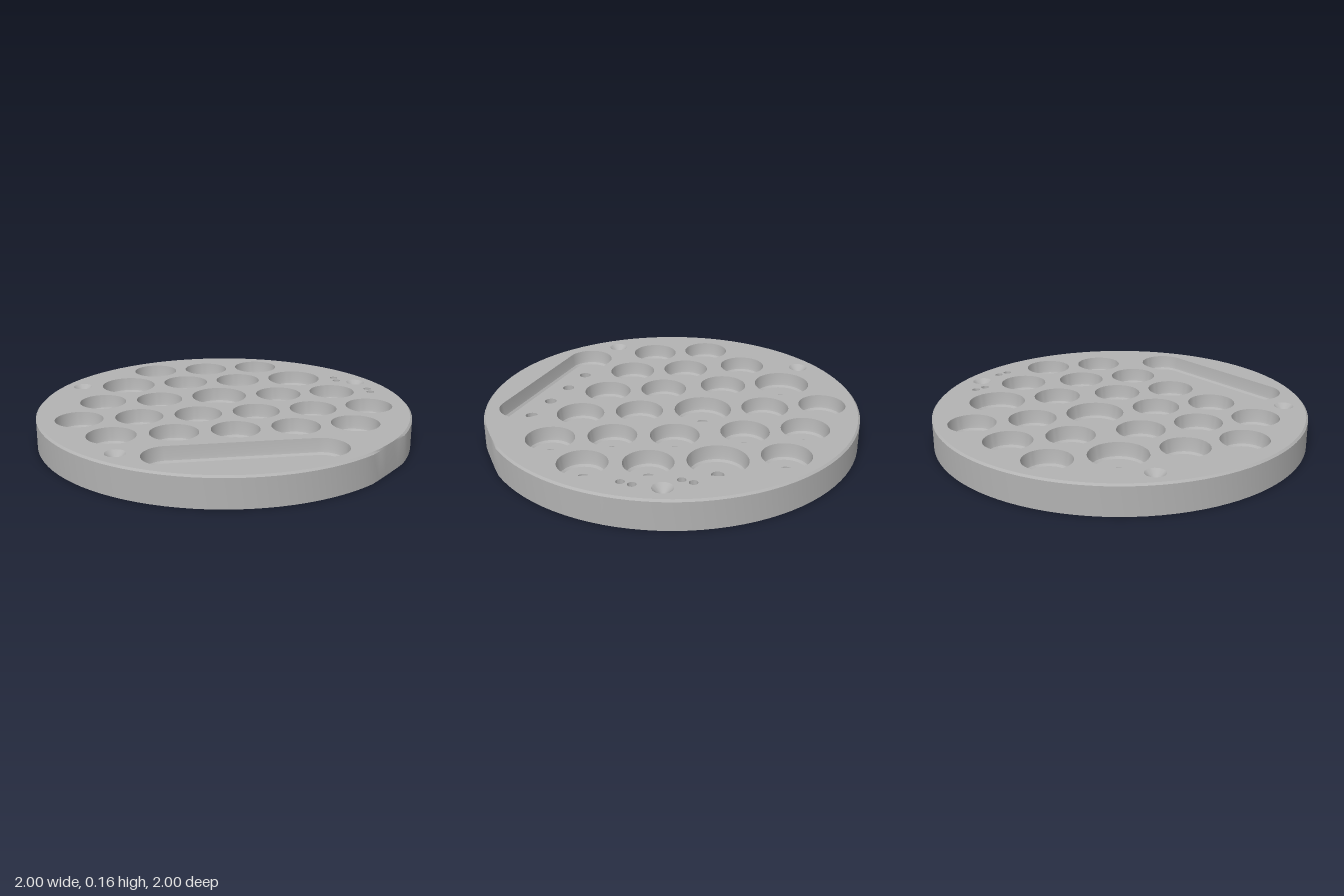
import * as THREE from 'three';
import { toCreasedNormals } from 'three/addons/utils/BufferGeometryUtils.js';

const TOP = 0.16, FLOOR = 0.08, HOLE = 0.032, BEVEL = 0.01;
const FLAT = 0.989; // distance of the trimmed flat from the centre
const SLOT = { z: 0.705, r: 0.128, half: 0.37 };
const slotHoles = [-0.3, -0.1, 0.1, 0.3];

const mirror = (z, xs) => xs.flatMap(x => (x ? [[-x, z], [x, z]] : [[0, z]]));
const smallWells = [
  ...mirror(-0.745, [0, 0.31]), ...mirror(-0.475, [0.155]),
  ...mirror(-0.165, [0.335, 0.645]), ...mirror(0.12, [0.155, 0.465, 0.775]),
  ...mirror(0.39, [0, 0.31, 0.62]),
];
const largeWells = [...mirror(-0.46, [0.49]), [0, -0.18]];
const dimples = [[-0.753, -0.475], [0.83, -0.325], [-0.61, 0.637]];
const pips = [[0.73, -0.435], [0.73, -0.375], [0.86, -0.185], [0.86, -0.125]];

// rules that reshape a ring point [x, z]
const trim = ([x, z]) => {
  const over = Math.max(0, (x + z) * Math.SQRT1_2 - FLAT) * Math.SQRT1_2;
  return [x - over, z - over];
};
const stretch = ([x, z]) => [x + Math.sign(x) * SLOT.half, z];
const keep = p => p;

// closed ring of points in the ground plane
function ring(r, n, cx = 0, cz = 0, rule = keep) {
  return Array.from({ length: n }, (_, i) => {
    const a = ((i + 0.5) / n) * Math.PI * 2;
    const [x, z] = rule([r * Math.sin(a), r * Math.cos(a)]);
    return [x + cx, z + cz];
  });
}

// turned surface with the same points as ring()
function turned(profile, n, rule = keep) {
  const g = new THREE.LatheGeometry(
    profile.map(p => new THREE.Vector2(...p)), n, Math.PI / n);
  const pos = g.attributes.position;
  for (let i = 0; i < pos.count; i++) {
    const [x, z] = rule([pos.getX(i), pos.getZ(i)]);
    pos.setX(i, x);
    pos.setZ(i, z);
  }
  return toCreasedNormals(g, 0.45);
}

// flat face with openings, facing up or down
function face(outline, holes, y, up) {
  const s = up ? -1 : 1;
  const pts = list => list.map(([x, z]) => new THREE.Vector2(x, s * z));
  const shape = new THREE.Shape(pts(outline));
  shape.holes = holes.map(h => new THREE.Path(pts(h)));
  return new THREE.ShapeGeometry(shape).rotateX(s * Math.PI / 2).translate(0, y, 0);
}

// drafted wall with a rounded foot, from the rim down to the floor
const wall = r => [[r, TOP], [r - 0.007, 0.105], [r - 0.012, 0.09], [r - 0.023, FLOOR]];

export function createModel() {
  const model = new THREE.Group();
  const grey = new THREE.MeshStandardMaterial({ color: 0xb2b2b2 });
  grey.name = 'plain grey';
  const add = (name, geometry, x = 0, z = 0) => {
    const mesh = new THREE.Mesh(geometry, grey);
    mesh.name = name;
    mesh.position.set(x, 0, z);
    model.add(mesh);
  };
  const N = 96, W = 48, H = 24, P = 16;

  // bevelled rim of the disc, with one trimmed flat
  add('outerRim', turned([[1, 0], [1, TOP - BEVEL], [1 - BEVEL, TOP]], N, trim));

  // top face, open at every recess
  const open = (list, r, n) => list.map(([x, z]) => ring(r, n, x, z));
  add('topFace', face(ring(1 - BEVEL, N, 0, 0, trim), [
    ...open(smallWells, 0.125, W), ...open(largeWells, 0.15, W),
    ...open(dimples, 0.052, H), ...open(pips, 0.022, P),
    ring(SLOT.r, W, 0, SLOT.z, stretch),
  ], TOP, true));

  // underside, open at every drain hole
  const drains = [...smallWells, ...largeWells, ...slotHoles.map(x => [x, SLOT.z])];
  add('underside', face(ring(1, N, 0, 0, trim), open(drains, HOLE, W), 0, false));

  // round wells, each with a drain hole
  const well = r => turned([...wall(r), [HOLE, FLOOR], [HOLE, 0]], W);
  const small = well(0.125), large = well(0.15);
  smallWells.forEach(([x, z]) => add('smallWell', small, x, z));
  largeWells.forEach(([x, z]) => add('largeWell', large, x, z));

  // long slot with four drain holes
  add('slotWall', turned(wall(SLOT.r), W, stretch), 0, SLOT.z);
  add('slotFloor', face(ring(SLOT.r - 0.023, W, 0, 0, stretch),
    slotHoles.map(x => ring(HOLE, W, x, 0)), FLOOR, true), 0, SLOT.z);
  const drain = turned([[HOLE, FLOOR], [HOLE, 0]], W);
  slotHoles.forEach(x => add('slotDrain', drain, x, SLOT.z));

  // conical dimples and small blind pips
  const dimple = turned([[0.052, TOP], [0, TOP - 0.05]], H);
  dimples.forEach(([x, z]) => add('dimple', dimple, x, z));
  const pip = turned([[0.022, TOP], [0.022, TOP - 0.03], [0, TOP - 0.03]], P);
  pips.forEach(([x, z]) => add('pip', pip, x, z));

  return model;
}
